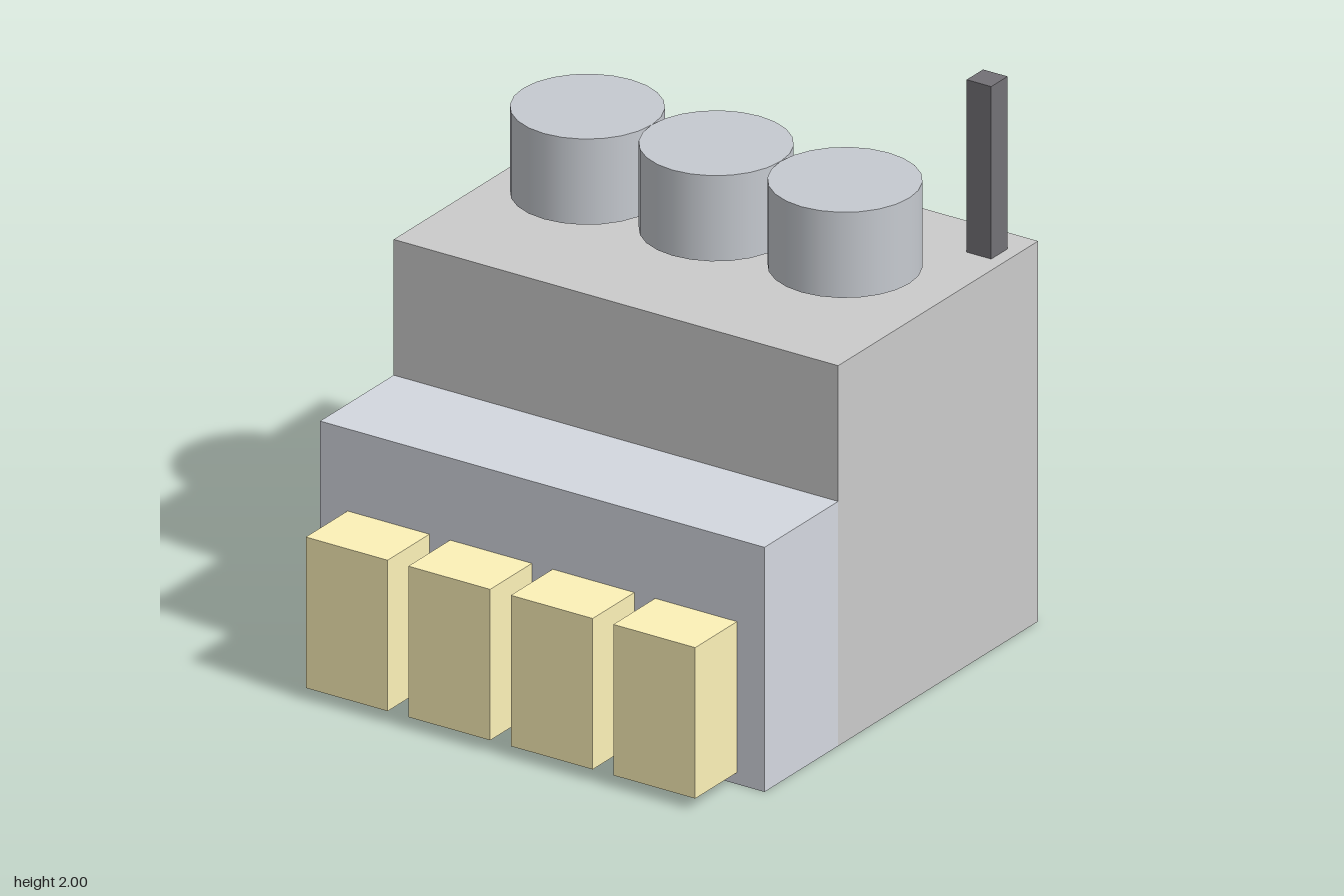
import * as THREE from 'three';

const paint = (color) => new THREE.MeshStandardMaterial({ color });

export function createModel() {
  const model = new THREE.Group();
  const grey = paint(0xcccccc);
  const blueGrey = paint(0xd4d8e0);
  const cream = paint(0xfdf2b8);
  const dark = paint(0x737176);
  const steel = paint(0xc6cad0);

  // Box given by its lower and upper corners
  function box(name, material, [x0, y0, z0], [x1, y1, z1]) {
    const mesh = new THREE.Mesh(new THREE.BoxGeometry(x1 - x0, y1 - y0, z1 - z0), material);
    mesh.position.set((x0 + x1) / 2, (y0 + y1) / 2, (z0 + z1) / 2);
    mesh.name = name;
    model.add(mesh);
  }

  // Main hall and the lower block in front of it
  box('mainHall', grey, [-0.88, 0, -0.925], [0.88, 1.376, 0.248]);
  box('frontAnnex', blueGrey, [-0.88, 0, 0.248], [0.88, 0.885, 0.68]);

  // Row of four loading bays
  for (let i = 0; i < 4; i++) {
    const x = (i - 1.5) * 0.406;
    box(`loadingBay${i + 1}`, cream, [x - 0.162, 0.042, 0.68], [x + 0.162, 0.588, 0.925]);
  }

  // Three roof fans, held just clear of the roof
  for (let i = 0; i < 3; i++) {
    const fan = new THREE.Mesh(new THREE.CylinderGeometry(0.255, 0.255, 0.31, 24), steel);
    fan.position.set((i - 1) * 0.51, 1.572, -0.34);
    fan.name = `roofFan${i + 1}`;
    model.add(fan);
  }

  // Chimney in the back corner
  box('chimney', dark, [0.734, 1.376, -0.818], [0.831, 2, -0.722]);

  return model;
}
